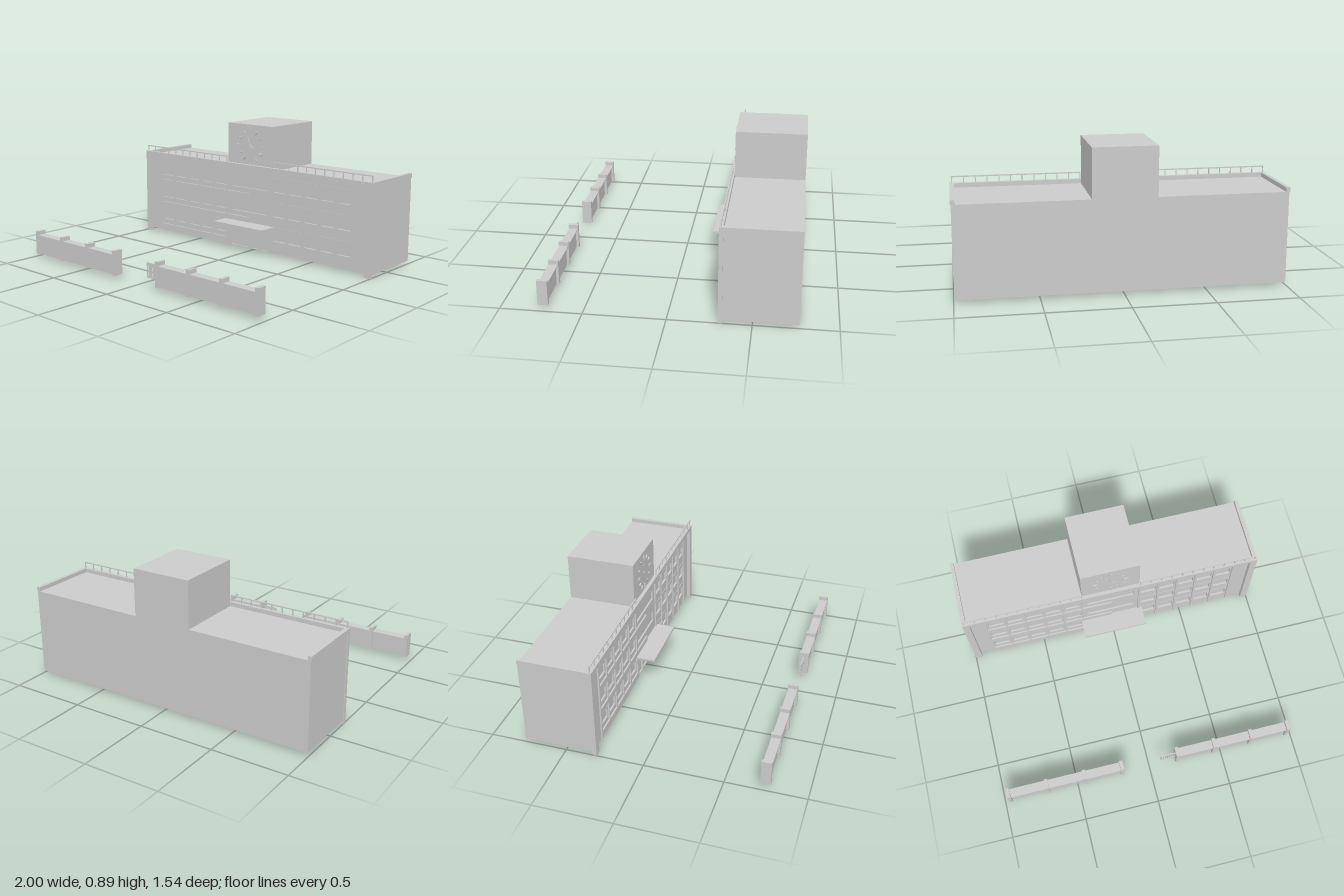
import * as THREE from 'three';

const grey = new THREE.MeshStandardMaterial({ color: 0xcccccc, side: THREE.DoubleSide, flatShading: true });

function add(parent, name, geometry) {
  const mesh = new THREE.Mesh(geometry, grey);
  mesh.name = name;
  parent.add(mesh);
  return mesh;
}

// Box given by its limits on each axis
function box(parent, name, x0, x1, y0, y1, z0, z1) {
  const mesh = add(parent, name, new THREE.BoxGeometry(x1 - x0, y1 - y0, z1 - z0));
  mesh.position.set((x0 + x1) / 2, (y0 + y1) / 2, (z0 + z1) / 2);
  return mesh;
}

function trace(path, points) {
  points.forEach(([x, y], i) => (i ? path.lineTo(x, y) : path.moveTo(x, y)));
  path.closePath();
  return path;
}
const rect = (x0, x1, y0, y1) => [[x0, y0], [x1, y0], [x1, y1], [x0, y1]];

// Flat slab with cut-outs, between two depths
function slab(parent, name, outline, holes, z0, z1) {
  const shape = trace(new THREE.Shape(), outline);
  holes.forEach(h => shape.holes.push(trace(new THREE.Path(), h)));
  const mesh = add(parent, name, new THREE.ExtrudeGeometry(shape, { depth: z1 - z0, bevelEnabled: false }));
  mesh.position.z = z0;
  return mesh;
}

function group(parent, name) {
  const g = new THREE.Group();
  g.name = name;
  parent.add(g);
  return g;
}

const BACK = -0.77, WALL = -0.325, RAISED = -0.315, FRONT = -0.3;
const ROWS = [0.07, 0.24, 0.41];
const LEFT_COLS = [-0.79, -0.66, -0.53, -0.4, -0.267];
const RIGHT_COLS = [0.257, 0.388, 0.52, 0.65, 0.78];

function buildShell(parent) {
  // Hollow block, open underneath
  const g = group(parent, 'mainBlock');
  const t = 0.004;
  box(g, 'backWall', -0.995, 0.995, 0.02, 0.585, BACK, BACK + t);
  for (const s of [-1, 1]) {
    const x = s * (0.995 - t / 2);
    box(g, 'sideWall', x - t / 2, x + t / 2, 0.02, 0.585, BACK, WALL);
    const e = s * 0.9875;
    box(g, 'sideParapet', e - 0.0125, e + 0.0125, 0.585, 0.612, BACK, WALL);
    const p = s * 0.9775;
    box(g, 'cornerPilaster', p - 0.0225, p + 0.0225, 0, 0.585, WALL, FRONT);
  }
  box(g, 'roof', -0.995, 0.995, 0.581, 0.585, BACK, WALL);
  box(g, 'frontParapet', -1, 1, 0.585, 0.612, WALL, FRONT);
  box(g, 'clockTower', -0.197, 0.195, 0.585, 0.888, BACK, WALL);
}

function buildFacade(parent) {
  const g = group(parent, 'facade');
  const openings = [], panes = [], cells = [];
  for (const y of ROWS) {
    for (const x of [...LEFT_COLS, ...RIGHT_COLS]) {
      panes.push([x - 0.05, x + 0.05, y + 0.035, y + 0.105]);
    }
    LEFT_COLS.forEach(x => cells.push(rect(x - 0.0605, x + 0.0605, y, y + 0.135)));
    if (y > 0.1) panes.push([-0.163, 0.155, y + 0.035, y + 0.105]);
  }
  panes.forEach(p => openings.push(rect(...p)));
  const door = [-0.175, 0.175, 0.022, 0.16];
  openings.push(rect(...door));
  slab(g, 'frontWall', rect(-0.96, 0.96, 0.02, 0.585), openings, WALL - 0.014, WALL);
  panes.forEach(([x0, x1, y0, y1]) => box(g, 'windowPane', x0, x1, y0, y1, WALL - 0.014, WALL - 0.011));

  // Raised left field, with stepped bands reaching to the centre
  const outline = [[-0.86, 0.02], [-0.2, 0.02], [-0.2, 0.205], [0, 0.205], [0, 0.24], [-0.2, 0.24],
    [-0.2, 0.375], [0, 0.375], [0, 0.41], [-0.2, 0.41], [-0.2, 0.545], [0, 0.545], [0, 0.585], [-0.86, 0.585]];
  slab(g, 'leftWindowField', outline, cells, WALL, RAISED);

  // Right field: vertical ribs and framed windows
  for (let i = 0; i < 6; i++) {
    const x = 0.193 + i * 0.131;
    box(g, 'verticalRib', x - 0.006, x + 0.006, 0.02, 0.585, WALL, RAISED);
  }
  for (const x of RIGHT_COLS) for (const y of ROWS) {
    slab(g, 'windowFrame', rect(x - 0.058, x + 0.058, y, y + 0.135),
      [rect(x - 0.05, x + 0.05, y + 0.035, y + 0.105)], WALL, WALL + 0.003);
  }

  // Entrance
  const e = group(g, 'entrance');
  box(e, 'doorPanel', ...door, WALL - 0.014, WALL - 0.01);
  for (const x of [-0.17, -0.09, -0.004, 0.008, 0.09, 0.17]) {
    box(e, 'doorPost', x - 0.005, x + 0.005, 0.022, 0.16, WALL - 0.01, WALL + 0.004);
  }
  for (const s of [-1, 1]) box(e, 'entranceJamb', s * 0.188 - 0.01, s * 0.188 + 0.01, 0.02, 0.19, WALL, RAISED);
  box(e, 'entranceLintel', -0.198, 0.198, 0.16, 0.19, WALL, RAISED);
  box(e, 'canopy', -0.217, 0.215, 0.19, 0.204, WALL, -0.192);
}

function buildRailing(parent, side) {
  const g = group(parent, 'roofRailing');
  const z = -0.312, r = 0.003;
  for (let i = 0; i < 12; i++) {
    const x = side * (0.2 + i * 0.0716);
    box(g, 'railPost', x - r, x + r, 0.612, 0.65, z - r, z + r);
  }
  const mid = side * 0.594;
  box(g, 'topRail', mid - 0.398, mid + 0.398, 0.648, 0.655, z - 0.004, z + 0.004);
}

function buildClock(parent) {
  const g = group(parent, 'clock');
  g.position.set(0, 0.742, WALL + 0.004);
  for (let i = 0; i < 12; i++) {
    const a = i * Math.PI / 6;
    const long = i % 3 === 0;
    const tick = add(g, 'hourMark', new THREE.BoxGeometry(0.01, long ? 0.032 : 0.022, 0.008));
    tick.position.set(Math.sin(a) * 0.103, Math.cos(a) * 0.103, 0);
    tick.rotation.z = -a;
  }
  for (const [name, length, angle] of [['hourHand', 0.05, 2.1], ['minuteHand', 0.075, -0.35]]) {
    const hand = add(g, name, new THREE.BoxGeometry(0.009, length, 0.006));
    hand.position.set(Math.sin(angle) * length * 0.4, Math.cos(angle) * length * 0.4, 0.002);
    hand.rotation.z = -angle;
  }
  add(g, 'clockHub', new THREE.CylinderGeometry(0.009, 0.009, 0.008, 12)).rotation.x = Math.PI / 2;
}

function buildFence(parent, side) {
  const g = group(parent, 'fence');
  const posts = [0.191, 0.446, 0.702, 0.96].map(x => x * side);
  posts.forEach((x, i) => {
    box(g, 'fencePillar', x - 0.0115, x + 0.0115, 0.025, 0.186, 0.71, 0.774);
    if (i === 3) return;
    const [x0, x1] = [x, posts[i + 1]].sort((a, b) => a - b);
    box(g, 'fencePanel', x0 + 0.0115, x1 - 0.0115, 0.025, 0.152, 0.727, 0.757);
    box(g, 'fenceCoping', x0 + 0.0115, x1 - 0.0115, 0.152, 0.16, 0.713, 0.771);
  });
}

function buildGate(parent) {
  const g = group(parent, 'gate');
  slab(g, 'gateFrame', rect(0.08, 0.18, 0.062, 0.157), [rect(0.087, 0.173, 0.07, 0.149)], 0.737, 0.745);
  for (let i = 0; i < 5; i++) {
    const x = 0.1 + i * 0.015;
    box(g, 'gateBar', x - 0.0035, x + 0.0035, 0.07, 0.149, 0.738, 0.744);
  }
}

export function createModel() {
  const model = new THREE.Group();
  model.name = 'schoolBuilding';
  buildShell(model);
  buildFacade(model);
  buildClock(model);
  for (const side of [-1, 1]) {
    buildRailing(model, side);
    buildFence(model, side);
  }
  buildGate(model);
  return model;
}
